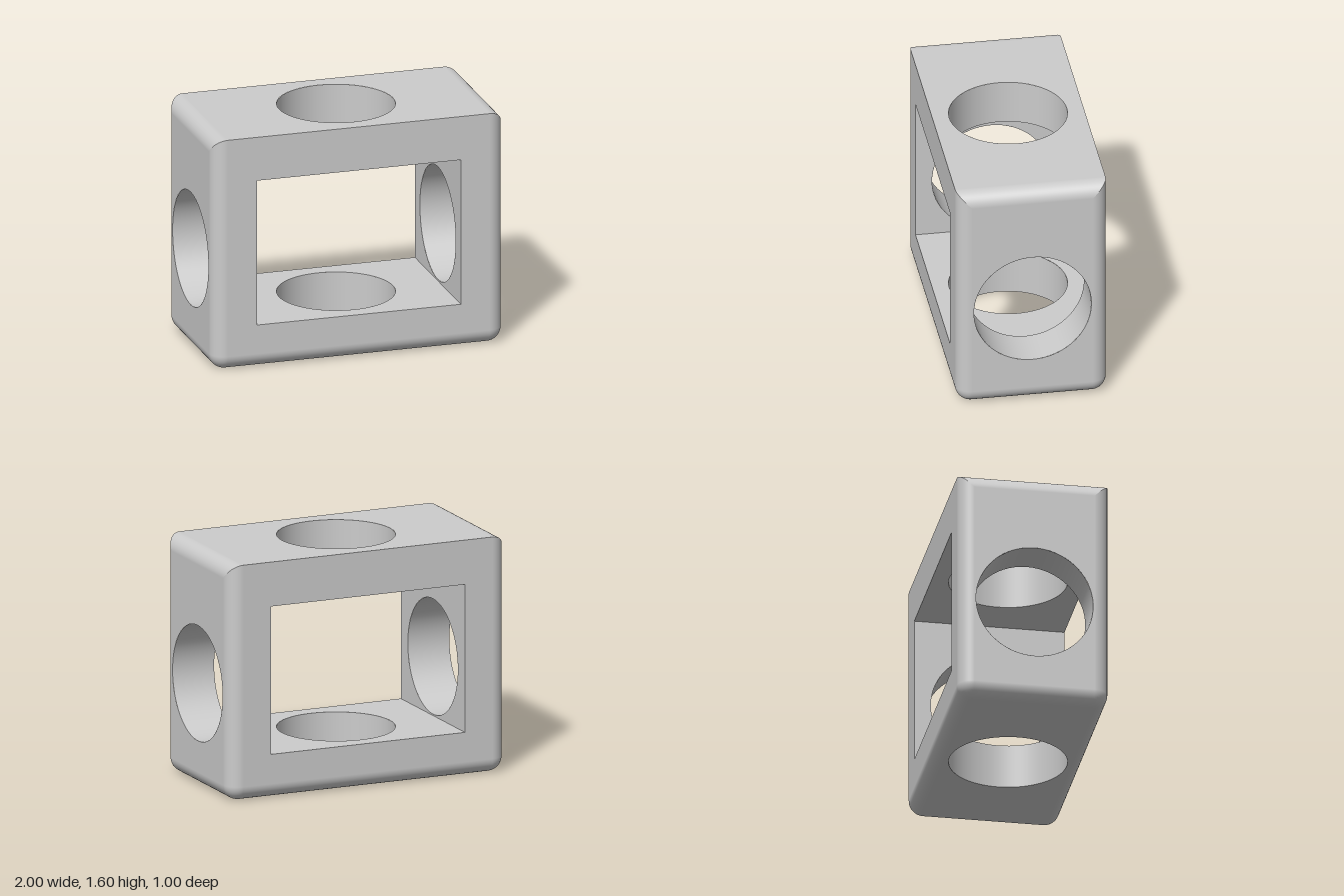
import * as THREE from 'three';
import { ParametricGeometry } from 'three/addons/geometries/ParametricGeometry.js';

const W = 1, H = 1.6, D = 0.5;      // half width, height, half depth
const R = 0.1;                      // edge rounding
const X = W - R, Z = D - R;         // where the rounding starts
const WX = 0.7, WY0 = 0.3, WY1 = 1.3; // window opening
const HOLE = 0.39, HOLE_Y = 0.7;    // round openings
const SEG = 64;

const grey = new THREE.MeshStandardMaterial({ color: 0xcccccc });
const inside = new THREE.MeshStandardMaterial({ color: 0xcccccc, side: THREE.DoubleSide });

export function createModel() {
  const model = new THREE.Group();

  const add = (name, geometry, material = grey) => {
    const mesh = new THREE.Mesh(geometry, material);
    mesh.name = name;
    model.add(mesh);
    return mesh;
  };

  // Flat rectangle from (x0, y0) to (x1, y1), facing +z, with one opening
  const panel = (x0, y0, x1, y1, opening) => {
    const rect = (path) => path.moveTo(x0, y0).lineTo(x1, y0).lineTo(x1, y1).lineTo(x0, y1).closePath();
    const shape = rect(new THREE.Shape());
    shape.holes.push(opening);
    return new THREE.ShapeGeometry(shape, SEG);
  };
  const circle = (y) => new THREE.Path().absarc(0, y, HOLE, 0, Math.PI * 2, true);

  // Quarter-round strip; point(c, s, t) gets cosine, sine and 0..1 along the edge
  const fillet = (name, flip, point) => {
    add(name, new ParametricGeometry((u, v, target) => {
      const a = (flip ? 1 - u : u) * Math.PI / 2;
      target.set(...point(Math.cos(a) * R, Math.sin(a) * R, v));
    }, 12, 1));
  };

  // Front and back faces with the rectangular window
  for (const s of [1, -1]) {
    const opening = new THREE.Path().moveTo(-WX, WY0).lineTo(-WX, WY1).lineTo(WX, WY1).lineTo(WX, WY0).closePath();
    const face = add(s > 0 ? 'frontFace' : 'backFace', panel(-X, R, X, H, opening));
    face.position.z = s * D;
    if (s < 0) face.rotation.y = Math.PI;
  }

  // Top and bottom walls: outer face, inner face
  const level = (name, y, up, hx, hz) => {
    const face = add(name, panel(-hx, -hz, hx, hz, circle(0)));
    face.rotation.x = up ? -Math.PI / 2 : Math.PI / 2;
    face.position.y = y;
  };
  level('topFace', H, true, X, D);
  level('innerCeiling', WY1, false, WX, D);
  level('innerFloor', WY0, true, WX, D);
  level('bottomFace', 0, false, X, Z);

  // Round tunnels through the top and bottom walls
  for (const [name, y0, y1] of [['topTunnel', WY1, H], ['bottomTunnel', 0, WY0]]) {
    const tunnel = add(name, new THREE.CylinderGeometry(HOLE, HOLE, y1 - y0, SEG, 1, true), inside);
    tunnel.position.y = (y0 + y1) / 2;
  }

  for (const sx of [1, -1]) {
    const side = sx > 0 ? 'left' : 'right';

    // Side wall: outer face, inner face and round tunnel
    const outer = add(side + 'Face', panel(-Z, R, Z, H - R, circle(HOLE_Y)));
    outer.rotation.y = sx * Math.PI / 2;
    outer.position.x = sx * W;
    const inner = add(side + 'InnerWall', panel(-D, WY0, D, WY1, circle(HOLE_Y)));
    inner.rotation.y = -sx * Math.PI / 2;
    inner.position.x = sx * WX;
    const tunnel = add(side + 'Tunnel', new THREE.CylinderGeometry(HOLE, HOLE, W - WX, SEG, 1, true), inside);
    tunnel.rotation.z = Math.PI / 2;
    tunnel.position.set(sx * (W + WX) / 2, HOLE_Y, 0);

    // Rounded top and bottom side edges; the top one is mitred at its ends
    fillet(side + 'TopEdge', sx < 0, (c, s, t) => [sx * (X + c), H - R + s, (2 * t - 1) * (Z + s)]);
    fillet(side + 'BottomEdge', sx > 0, (c, s, t) => [sx * (X + c), R - s, (2 * t - 1) * Z]);

    // Upright edges, mitred where they meet the top edge
    for (const sz of [1, -1]) {
      const end = sz > 0 ? 'Front' : 'Back';
      fillet(side + end + 'Edge', sx * sz > 0, (c, s, t) => [sx * (X + c), R + t * (H - 2 * R + s), sz * (Z + s)]);
    }
  }

  // Rounded bottom edges along the front and back
  for (const sz of [1, -1]) {
    fillet(sz > 0 ? 'frontBottomEdge' : 'backBottomEdge', sz < 0,
      (c, s, t) => [(2 * t - 1) * X, R - s, sz * (Z + c)]);
  }

  // Ball corners at the bottom
  [[-1, 1], [1, 1], [1, -1], [-1, -1]].forEach(([sx, sz], i) => {
    const q = Math.PI / 2;
    const ball = add('bottomCorner', new THREE.SphereGeometry(R, 12, 12, i * q, q, q, q));
    ball.position.set(sx * X, R, sz * Z);
  });

  return model;
}
